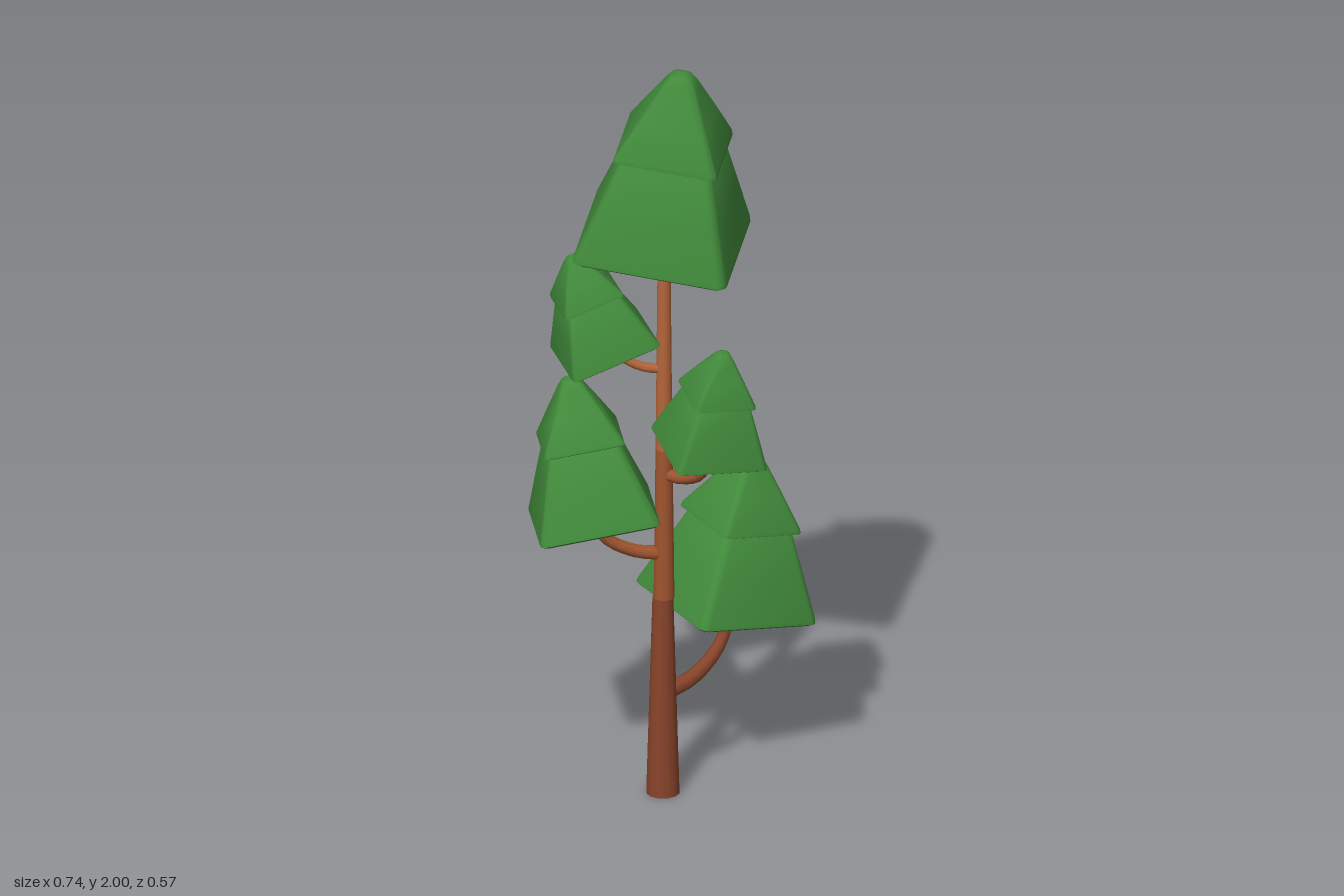
import * as THREE from 'three';
import { toCreasedNormals } from 'three/addons/utils/BufferGeometryUtils.js';

const material = (name, color) => {
  const m = new THREE.MeshStandardMaterial({ color });
  m.name = name;
  return m;
};
const V = (p) => new THREE.Vector3(...p);

// Square loop with rounded corners, half side h and corner radius r
function squareLoop(h, r, y) {
  const pts = [];
  for (let c = 0; c < 4; c++) {
    const mid = Math.PI / 4 + c * Math.PI / 2;
    const cx = Math.sign(Math.cos(mid)) * (h - r), cz = Math.sign(Math.sin(mid)) * (h - r);
    for (let i = 0; i <= 3; i++) {
      const a = mid - Math.PI / 4 + i * Math.PI / 6;
      pts.push([cx + r * Math.cos(a), y, cz + r * Math.sin(a)]);
    }
  }
  return pts;
}

// Closed tier lofted through rows of [half side, height, corner radius]
function tierGeometry(rows, half, height) {
  const loops = rows.map(([h, y, r]) => squareLoop(h * half, r * half, y * height));
  const n = loops[0].length, pos = [], index = [];
  loops.forEach((loop) => loop.forEach((p) => pos.push(...p)));
  for (let j = 0; j < loops.length - 1; j++) {
    for (let i = 0; i < n; i++) {
      const a = j * n + i, b = j * n + (i + 1) % n;
      index.push(a, a + n, b, b, a + n, b + n);
    }
  }
  const last = (loops.length - 1) * n;
  pos.push(0, rows[0][1] * height, 0, 0, rows[rows.length - 1][1] * height, 0);
  const bottom = loops.length * n;
  for (let i = 0; i < n; i++) {
    const k = (i + 1) % n;
    index.push(bottom, i, k, bottom + 1, last + k, last + i);
  }
  const g = new THREE.BufferGeometry();
  g.setAttribute('position', new THREE.Float32BufferAttribute(pos, 3));
  g.setIndex(index);
  return toCreasedNormals(g, 0.75);
}

const LOWER = [[0.95, 0, 0.1], [1, 0.015, 0.12], [0.99, 0.04, 0.12], [0.78, 0.31, 0.12], [0.55, 0.6, 0.12], [0.45, 0.64, 0.12]];
const UPPER = [[0.62, 0.55, 0.06], [0.67, 0.56, 0.08], [0.66, 0.585, 0.08], [0.43, 0.77, 0.09],
  [0.21, 0.94, 0.1], [0.14, 0.985, 0.1], [0.06, 1, 0.05]];

// Tube that narrows towards its end
function branchGeometry(points, r0, r1) {
  const curve = new THREE.CatmullRomCurve3(points.map(V));
  const segs = 10, sides = 8;
  const g = new THREE.TubeGeometry(curve, segs, 1, sides);
  const pos = g.attributes.position, v = new THREE.Vector3();
  for (let i = 0; i < pos.count; i++) {
    const t = Math.floor(i / (sides + 1)) / segs;
    const c = curve.getPointAt(t);
    v.fromBufferAttribute(pos, i).sub(c).multiplyScalar(r0 + (r1 - r0) * t).add(c);
    pos.setXYZ(i, v.x, v.y, v.z);
  }
  return g;
}

export function createModel() {
  const tree = new THREE.Group();
  tree.name = 'tree';
  const green = material('leaf green', 0x418a3b);
  const dark = material('dark bark', 0x88442a);
  const mid = material('middle bark', 0xa0552f);
  const light = material('light bark', 0xb5653a);
  const cut = material('cut wood', 0x94846a);

  const add = (name, geometry, mat, parent = tree) => {
    const m = new THREE.Mesh(geometry, mat);
    m.name = name;
    parent.add(m);
    return m;
  };

  // Trunk in three stacked lengths, lighter towards the top
  [
    ['trunkBase', 0, 0.54, 0.043, 0.027, dark],
    ['trunkMiddle', 0.54, 0.95, 0.027, 0.022, mid],
    ['trunkTop', 0.95, 1.56, 0.022, 0.016, light],
  ].forEach(([name, y0, y1, r0, r1, mat]) => {
    const g = new THREE.CylinderGeometry(r1, r0, y1 - y0, 12);
    const m = add(name, g, [mat, mat, y0 === 0 ? cut : mat]);
    m.position.set(-0.023, (y0 + y1) / 2, 0.025);
    if (y0 === 0) m.position.x = -0.026;
  });

  // Branches curving from the trunk up to each leaf cluster
  [
    ['lowLeftBranch', [[-0.02, 0.275, 0.025], [0.06, 0.29, -0.01], [0.14, 0.335, -0.065], [0.17, 0.39, -0.085], [0.172, 0.46, -0.085]], 0.022, 0.013, dark],
    ['lowRightBranch', [[-0.02, 0.66, 0.025], [-0.1, 0.675, 0.02], [-0.175, 0.72, 0.015], [-0.205, 0.8, 0.015]], 0.02, 0.013, mid],
    ['frontBranch', [[-0.02, 0.88, 0.025], [0.01, 0.885, 0.075], [0.045, 0.925, 0.14], [0.057, 1.02, 0.165]], 0.017, 0.011, mid],
    ['highRightBranch', [[-0.02, 1.17, 0.025], [-0.08, 1.18, 0.015], [-0.13, 1.21, 0.005], [-0.165, 1.26, 0]], 0.014, 0.01, light],
  ].forEach(([name, pts, r0, r1, mat]) => add(name, branchGeometry(pts, r0, r1), mat));

  // Leaf clusters: base centre, tip, half side, yaw in degrees
  [
    ['crown', [-0.025, 1.51, 0.005], [0.015, 2.0, 0.058], 0.197, -25],
    ['lowLeftLeaves', [0.165, 0.447, -0.08], [0.238, 0.852, -0.092], 0.171, 15.5],
    ['lowRightLeaves', [-0.2, 0.772, 0.015], [-0.253, 1.153, -0.03], 0.153, -8.7],
    ['frontLeaves', [0.055, 1.0, 0.165], [0.082, 1.285, 0.205], 0.119, 2.5],
    ['highRightLeaves', [-0.168, 1.238, 0.002], [-0.255, 1.502, 0], 0.119, 0],
  ].forEach(([name, base, tip, half, yaw]) => {
    const cluster = new THREE.Group();
    cluster.name = name;
    const axis = V(tip).sub(V(base)), height = axis.length();
    cluster.position.copy(V(base));
    cluster.quaternion.setFromUnitVectors(V([0, 1, 0]), axis.normalize());
    cluster.rotateY(THREE.MathUtils.degToRad(yaw));
    add('lowerTier', tierGeometry(LOWER, half, height), green, cluster);
    add('upperTier', tierGeometry(UPPER, half, height), green, cluster);
    tree.add(cluster);
  });

  return tree;
}
